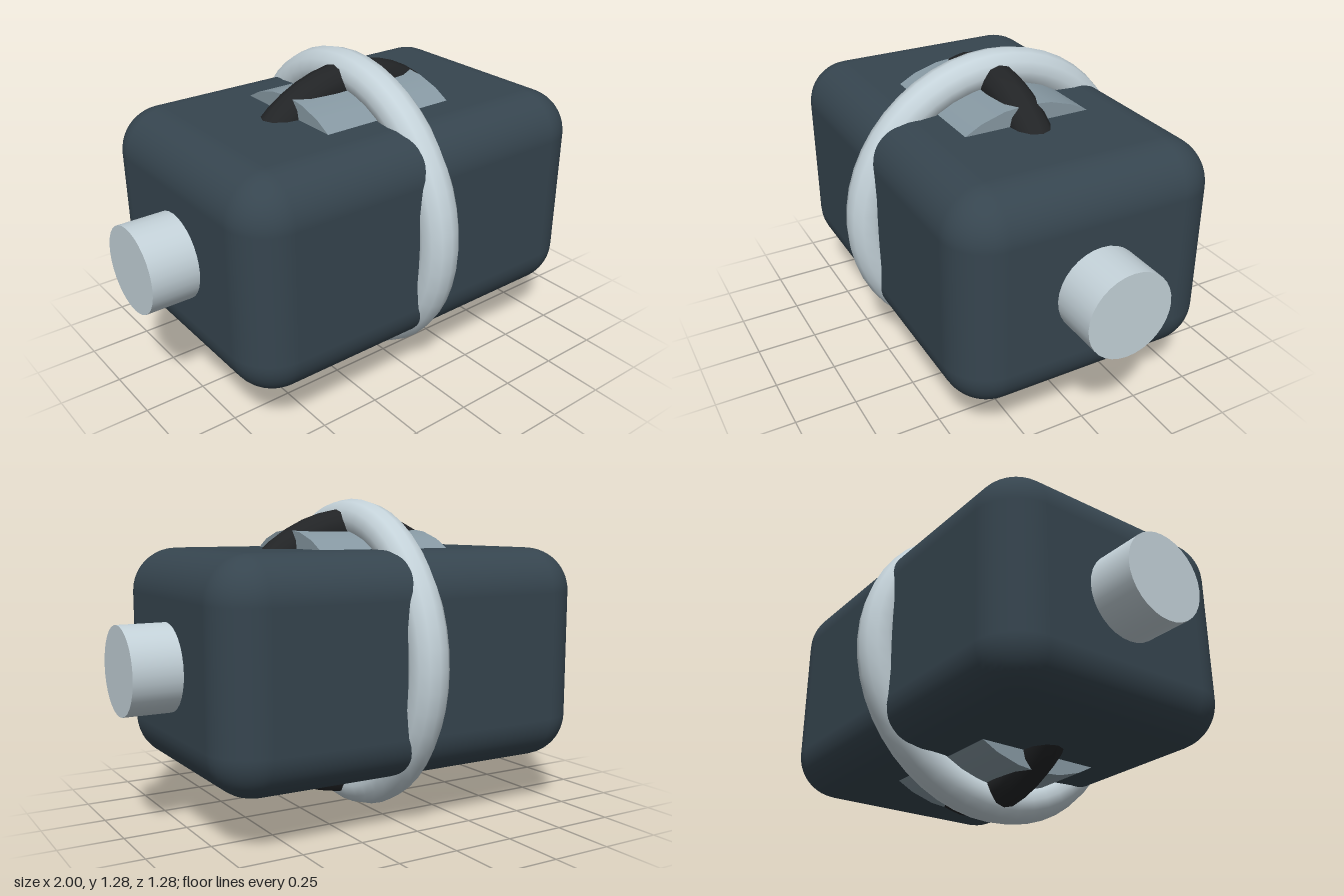
import * as THREE from 'three';
import { RoundedBoxGeometry } from 'three/addons/geometries/RoundedBoxGeometry.js';

const CENTER_Y = 0.645;

export function createModel() {
  const model = new THREE.Group();
  const add = (name, geometry, color) => {
    const material = new THREE.MeshStandardMaterial({ color });
    const mesh = new THREE.Mesh(geometry, material);
    mesh.name = name;
    mesh.position.y = CENTER_Y;
    model.add(mesh);
    return mesh;
  };
  // Cylinder lying along x
  const axle = (radius, length) =>
    new THREE.CylinderGeometry(radius, radius, length, 32).rotateZ(Math.PI / 2);

  // Rounded housing
  add('housing', new RoundedBoxGeometry(1.62, 0.88, 1.08, 6, 0.18), 0x36454f);

  // Shaft running through both ends
  add('shaft', axle(0.172, 2), 0xc4d2d9);

  // Drum showing through the top and bottom of the housing
  add('drum', axle(0.515, 0.59), 0x8799a3);

  // Light ring around the shaft axis
  add('outerRing', new THREE.TorusGeometry(0.56, 0.08, 12, 48).rotateY(Math.PI / 2), 0xc4d2d9);

  // Dark ring at right angles to it
  add('crossRing', new THREE.TorusGeometry(0.52, 0.08, 12, 48), 0x222426);

  return model;
}
